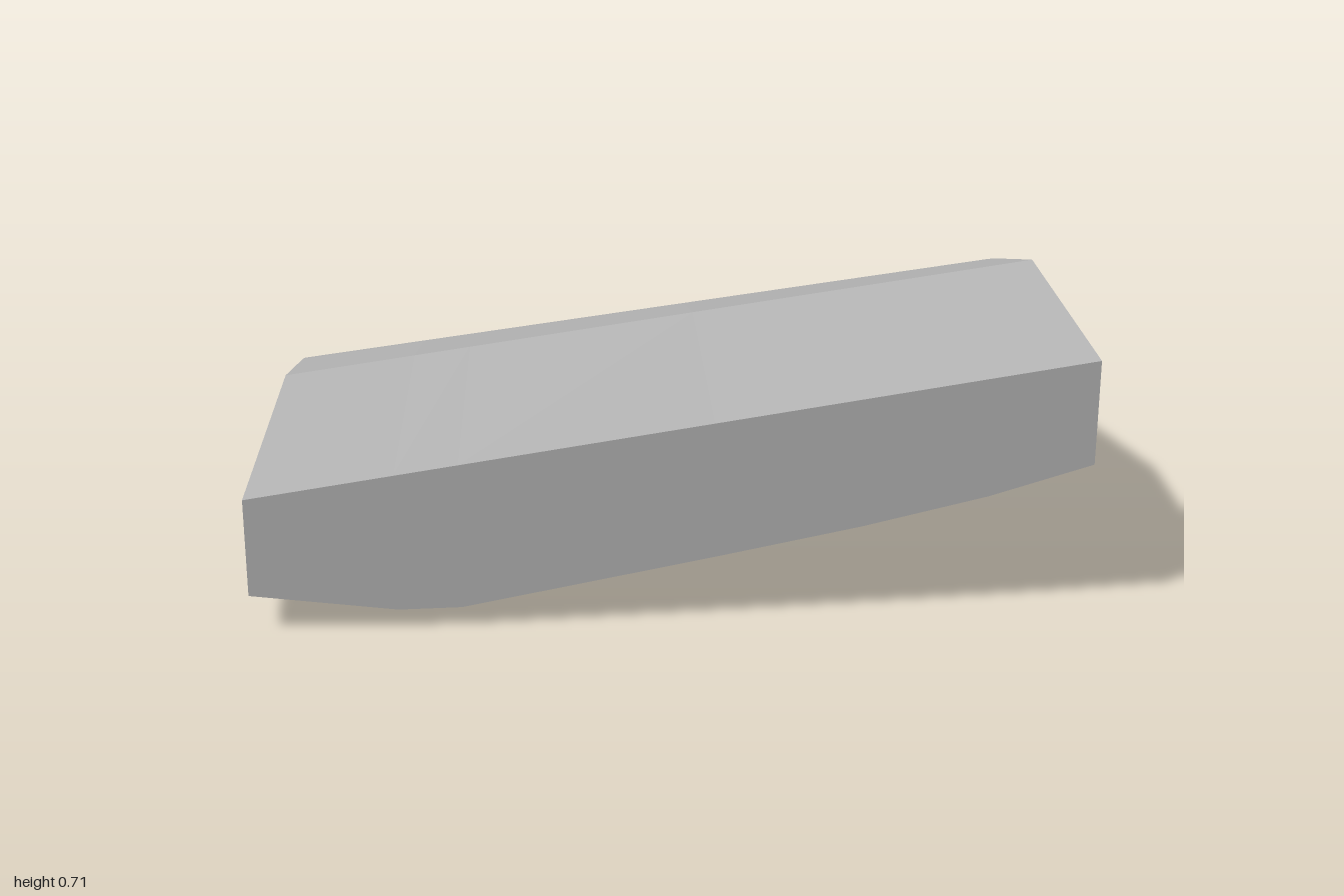
import * as THREE from 'three';

// Upper profile at each end as [z, y], from the front edge over the ridge to the rounded back
const upperLow = [[0.65, 0.33], [-0.15, 0.395], [-0.5, 0.34], [-0.55, 0.33], [-0.62, 0.29], [-0.64, 0.25], [-0.65, 0.16]];
const upperHigh = [[0.65, 0.635], [-0.045, 0.715], [-0.47, 0.62], [-0.55, 0.6], [-0.6, 0.56], [-0.64, 0.5], [-0.645, 0.43]];

// Curved underside stations: x, then [z, y] from the back to the front edge
const underside = [
  [-1, [-0.62, 0.11], [-0.57, 0.08], [-0.47, 0.07], [0.17, 0.02], [0.65, 0.09]],
  [-0.65, [-0.625, 0.13], [-0.58, 0.09], [-0.47, 0.066], [0.37, 0], [0.65, 0.047]],
  [-0.5, [-0.63, 0.15], [-0.58, 0.1], [-0.47, 0.075], [0.38, 0.015], [0.65, 0.05]],
  [0.1, [-0.63, 0.21], [-0.58, 0.16], [-0.47, 0.135], [0.38, 0.13], [0.65, 0.165]],
  [0.45, [-0.62, 0.27], [-0.58, 0.23], [-0.47, 0.205], [0.4, 0.2], [0.65, 0.235]],
  [0.75, [-0.61, 0.33], [-0.57, 0.295], [-0.47, 0.275], [0.45, 0.275], [0.65, 0.305]],
  [1, [-0.59, 0.38], [-0.56, 0.37], [-0.47, 0.355], [0.5, 0.36], [0.65, 0.38]],
];

function slabGeometry() {
  const positions = [];
  const index = [];
  const count = upperLow.length + underside[0].length - 1;

  // The upper surface runs straight between the ends
  for (const [x, ...lower] of underside) {
    const t = (x + 1) / 2;
    const upper = upperLow.map(([z, y], i) => [
      THREE.MathUtils.lerp(z, upperHigh[i][0], t),
      THREE.MathUtils.lerp(y, upperHigh[i][1], t),
    ]);
    for (const [z, y] of [...upper, ...lower]) positions.push(x, y, z);
  }

  // Skin between neighbouring sections
  for (let s = 0; s < underside.length - 1; s++) {
    for (let i = 0; i < count; i++) {
      const j = (i + 1) % count;
      const a = s * count + i, d = s * count + j;
      const b = a + count, c = d + count;
      index.push(a, b, c, a, c, d);
    }
  }

  // Flat end caps
  const last = (underside.length - 1) * count;
  for (let i = 1; i < count - 1; i++) {
    index.push(0, i, i + 1);
    index.push(last, last + i + 1, last + i);
  }

  const geometry = new THREE.BufferGeometry();
  geometry.setAttribute('position', new THREE.Float32BufferAttribute(positions, 3));
  geometry.setIndex(index);
  const faceted = geometry.toNonIndexed();
  faceted.computeVertexNormals();
  return faceted;
}

export function createModel() {
  const group = new THREE.Group();
  group.name = 'slantedSlab';
  const grey = new THREE.MeshStandardMaterial({ color: 0xb4b4b4 });
  grey.name = 'light grey';
  const slab = new THREE.Mesh(slabGeometry(), grey);
  slab.name = 'slabBody';
  group.add(slab);
  return group;
}
